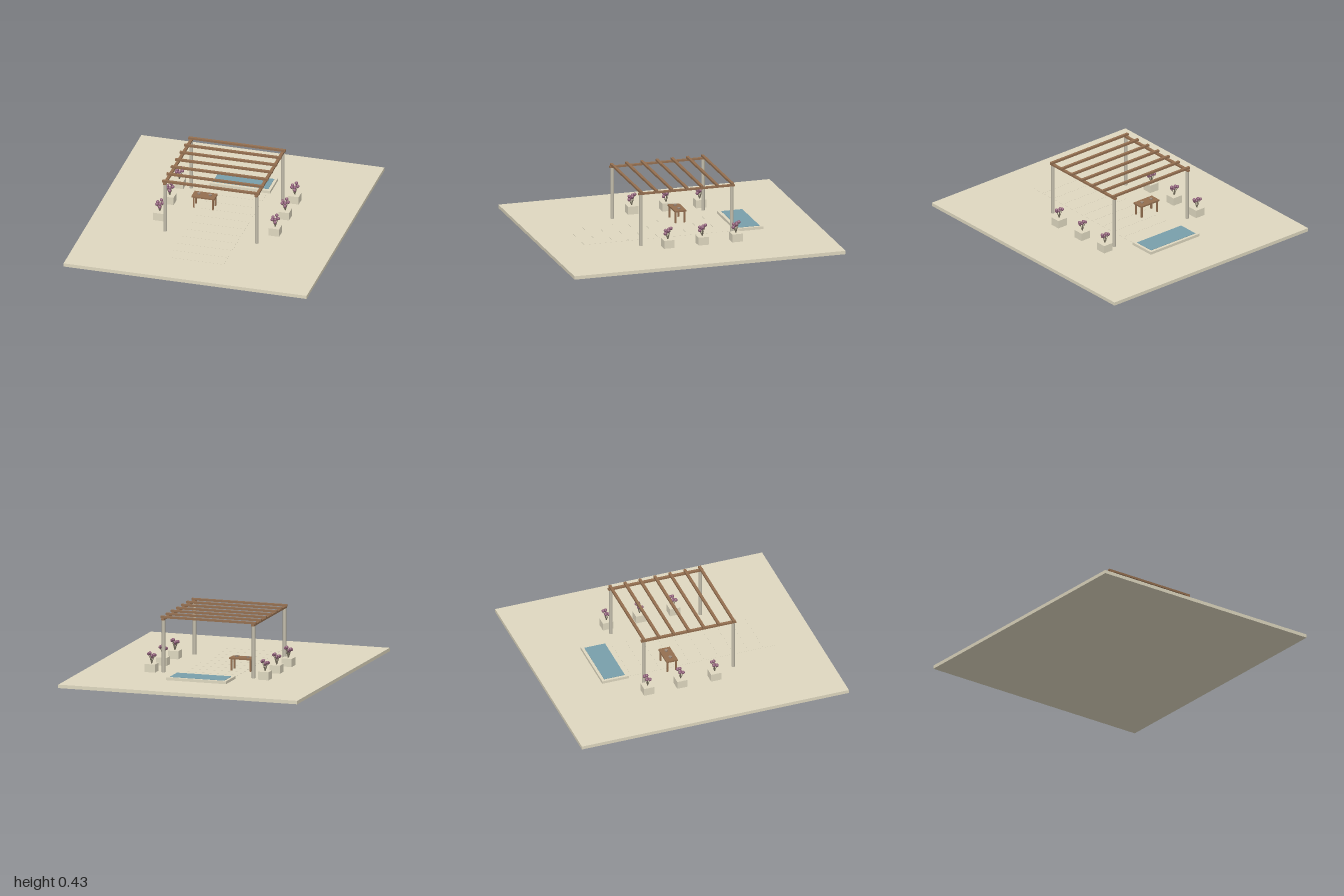
import * as THREE from 'three';

const mat = (name, color) => {
  const m = new THREE.MeshStandardMaterial({ color });
  m.name = name;
  return m;
};

export function createModel() {
  const stone = mat('pale stone', 0xdfd8c0);
  const column = mat('weathered stone', 0xc2bcaa);
  const wood = mat('brown timber', 0x946f50);
  const water = mat('pool water', 0x789fab);
  const petal = mat('purple blossom', 0x906079);
  const stemMat = mat('grey stem', 0x77705f);
  const clay = mat('taupe clay', 0xa08c7c);

  const root = new THREE.Group();
  root.name = 'gardenPergola';

  const add = (parent, name, geometry, material, x, y, z) => {
    const mesh = new THREE.Mesh(geometry, material);
    mesh.name = name;
    mesh.position.set(x, y, z);
    parent.add(mesh);
    return mesh;
  };
  // Box given by its centre in x and z and by its bottom height
  const box = (parent, name, w, h, d, material, x, y, z) =>
    add(parent, name, new THREE.BoxGeometry(w, h, d), material, x, y + h / 2, z);
  const group = (name) => {
    const g = new THREE.Group();
    g.name = name;
    root.add(g);
    return g;
  };

  // Ground slab and the thin paving of the path
  const top = 0.025;
  box(root, 'ground', 1.778, top, 2, stone, 0, 0, 0);
  const path = group('path');
  for (let i = 0; i < 10; i++) {
    box(path, 'paver', 0.4, 0.001, 0.1, stone, 0, top, 0.66 - i * 0.11);
  }

  // Pergola: four posts, two side beams and seven rafters
  const pergola = group('pergola');
  for (const x of [-0.335, 0.335]) {
    for (const z of [-0.335, 0.335]) {
      add(pergola, 'post', new THREE.CylinderGeometry(0.0125, 0.0125, 0.375, 20), column, x, top + 0.1875, z);
    }
    box(pergola, 'sideBeam', 0.021, 0.013, 0.71, wood, x, 0.4, 0);
  }
  for (let i = 0; i < 7; i++) {
    box(pergola, 'rafter', 0.71, 0.015, 0.019, wood, 0, 0.413, -0.336 + i * 0.112);
  }

  // Raised pool
  const pool = group('pool');
  box(pool, 'poolBasin', 0.445, 0.02, 0.2, stone, 0, top, -0.503);
  box(pool, 'poolWater', 0.405, 0.003, 0.155, water, 0, 0.0445, -0.505);

  // Table with two small cups
  const table = group('table');
  const tx = -0.168, tz = -0.09;
  box(table, 'tableTop', 0.168, 0.011, 0.085, wood, tx, 0.107, tz);
  for (const sx of [-1, 1]) {
    for (const sz of [-1, 1]) {
      box(table, 'tableLeg', 0.011, 0.082, 0.011, wood, tx + sx * 0.07, top, tz + sz * 0.032);
    }
    add(table, 'cup', new THREE.CylinderGeometry(0.012, 0.01, 0.01, 16), clay, tx + sx * 0.042, 0.123, tz);
  }

  // Planters, each holding a spray of blossoms on leaning stems
  const blossoms = [
    [-0.02, 0.147, -0.012], [0.005, 0.161, -0.021], [0.022, 0.15, 0.002],
    [0.004, 0.125, 0.02], [-0.019, 0.141, 0.012], [0, 0.137, 0],
  ];
  const blossomGeometry = new THREE.SphereGeometry(0.012, 16, 10);
  const up = new THREE.Vector3(0, 1, 0);
  for (const x of [-0.422, 0.422]) {
    for (const z of [-0.338, -0.09, 0.164]) {
      const planter = group('planter');
      planter.position.set(x, 0, z);
      box(planter, 'planterBox', 0.077, 0.058, 0.077, stone, 0, top, 0);
      for (const p of blossoms) {
        const base = new THREE.Vector3(0, 0.08, 0);
        const tip = new THREE.Vector3(...p);
        const dir = tip.clone().sub(base);
        const mid = base.clone().add(tip).multiplyScalar(0.5);
        const stem = add(planter, 'stem', new THREE.CylinderGeometry(0.002, 0.0024, dir.length(), 12), stemMat, mid.x, mid.y, mid.z);
        stem.quaternion.setFromUnitVectors(up, dir.normalize());
        add(planter, 'blossom', blossomGeometry, petal, ...p);
      }
    }
  }
  return root;
}
